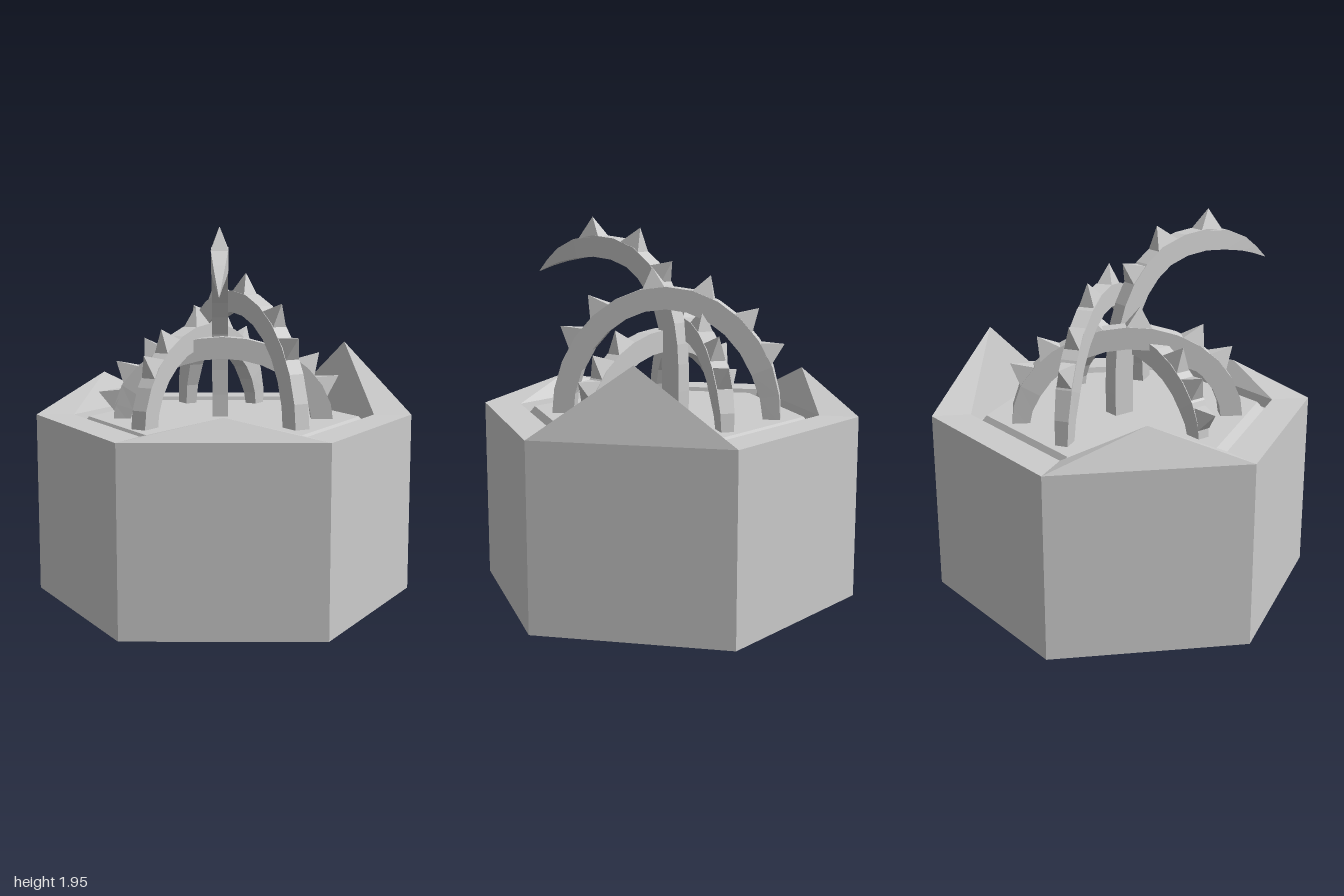
import * as THREE from 'three';

const material = new THREE.MeshStandardMaterial({ color: 0xcccccc, flatShading: true, side: THREE.DoubleSide });
const CZ = -0.055, RIM = 0.955, FLOOR = 0.945;

// Mesh from a list of triangles, each [Vector3, Vector3, Vector3]
function triMesh(name, tris) {
  const geo = new THREE.BufferGeometry().setFromPoints(tris.flat());
  geo.computeVertexNormals();
  const mesh = new THREE.Mesh(geo, material);
  mesh.name = name;
  return mesh;
}

// Corner i of a hexagon; corner 0 points to +x and they run towards +z
function corner(i, r, y) {
  const a = (i * Math.PI) / 3;
  return new THREE.Vector3(r * Math.cos(a), y, CZ + r * Math.sin(a));
}

function quad(a, b, c, d) {
  return [[a, b, c], [a, c, d]];
}

// Six-sided block, with a groove around a raised floor
function makeBase() {
  const rings = [[0, 0], [1, 0], [1, RIM]];
  const inner = [[0.8, RIM], [0.785, 0.9], [0.757, 0.9], [0.72, FLOOR], [0, FLOOR]];
  const tris = [];
  for (const profile of [rings, inner]) {
    for (let k = 0; k < profile.length - 1; k++) {
      const [r0, y0] = profile[k], [r1, y1] = profile[k + 1];
      for (let i = 0; i < 6; i++) {
        const a = corner(i, r0, y0), b = corner(i + 1, r0, y0);
        const c = corner(i + 1, r1, y1), d = corner(i, r1, y1);
        if (r0 === 0) tris.push([a, d, c]);
        else if (r1 === 0) tris.push([a, d, b]);
        else tris.push(...quad(a, d, c, b));
      }
    }
  }
  return triMesh('hexBase', tris);
}

// Rim segment: four faces meeting in a peak over its middle
function makeRim(i, peakY) {
  const a = corner(i, 1, RIM), b = corner(i + 1, 1, RIM);
  const c = corner(i + 1, 0.8, RIM), d = corner(i, 0.8, RIM);
  const p = a.clone().add(b).add(c).add(d).multiplyScalar(0.25).setY(peakY);
  return triMesh(peakY > RIM ? 'rimPeak' : 'rimFlat', [[a, p, b], [b, p, c], [c, p, d], [d, p, a]]);
}

// Square tentacle swept along a curve in the local xy plane.
// half(t) scales the section, spikes lists the places of thorns on the outer side.
function makeTentacle(name, curve, segments, half, spikes) {
  const at = (t, n, s) => {
    const p = curve.getPoint(t), d = curve.getTangent(t);
    return new THREE.Vector3(p.x + d.y * n, p.y - d.x * n, s);
  };
  const W = 0.042, H = 0.057;
  const ring = (t) => {
    const k = half(t);
    return [[-1, -1], [1, -1], [1, 1], [-1, 1]].map(([n, s]) => at(t, n * H * k, s * W * k));
  };
  const tris = [];
  for (let i = 0; i < segments; i++) {
    const r0 = ring(i / segments), r1 = ring((i + 1) / segments);
    for (let j = 0; j < 4; j++) {
      const m = (j + 1) % 4;
      tris.push(...quad(r0[j], r1[j], r1[m], r0[m]));
    }
  }
  const start = ring(0), end = ring(1);
  tris.push(...quad(...start), ...quad(...end.reverse()));

  const length = curve.getLength();
  for (const t of spikes) {
    const k = half(t), dt = 0.06 / length;
    const foot = [[-1, -1], [1, -1], [1, 1], [-1, 1]]
      .map(([e, s]) => at(THREE.MathUtils.clamp(t + e * dt, 0, 1), H * k * 0.85, s * W * k));
    const tip = at(t, H * k + 0.1, 0);
    for (let j = 0; j < 4; j++) tris.push([foot[j], foot[(j + 1) % 4], tip]);
  }
  return triMesh(name, tris);
}

// Half-ellipse from +x over the top to -x
function archCurve(rx, ry) {
  const curve = new THREE.Curve();
  curve.getPoint = (t) => {
    const a = t * Math.PI;
    return new THREE.Vector3(rx * Math.cos(a), ry * Math.sin(a), 0);
  };
  return curve;
}

export function createModel() {
  const model = new THREE.Group();
  model.name = 'tentaclePit';
  model.add(makeBase());

  // Rim, with a low front peak, a middle and a tall one at the back
  const peaks = [RIM, 1.06, RIM, 1.14, RIM, 1.31];
  peaks.forEach((y, i) => model.add(makeRim(i, y)));

  // Arched tentacles: name, centre x and z, turn, radii, thorn angles
  const crossed = [38, 55, 84, 108, 131, 148];
  const arches = [
    ['tallArch', 0.075, -0.125, -1.015, 0.545, 0.635, crossed],
    ['middleArch', -0.11, -0.125, Math.PI + 1.015, 0.545, 0.46, crossed],
    ['sideArch', -0.01, -0.01, 0, 0.53, 0.4, [25, 40, 58, 128, 146, 164]],
  ];
  for (const [name, x, z, turn, rx, ry, angles] of arches) {
    const arch = makeTentacle(name, archCurve(rx, ry), 14,
      (t) => 1 - 0.25 * THREE.MathUtils.smoothstep(t, 0.85, 1), angles.map((a) => a / 180));
    arch.position.set(x, 0.92, z);
    arch.rotation.y = turn;
    model.add(arch);
  }

  // Free tentacle rising and reaching out over the front to a point
  const path = [[0.1, 0.92], [0.1, 1.2], [0.075, 1.4], [-0.01, 1.59], [-0.18, 1.74], [-0.45, 1.79],
    [-0.73, 1.73], [-0.92, 1.63]].map(([x, y]) => new THREE.Vector3(x, y, 0));
  const reach = makeTentacle('reachingTentacle', new THREE.CatmullRomCurve3(path), 14,
    (t) => (t < 0.75 ? 1 : Math.max(0.02, 1 - ((t - 0.75) / 0.25) ** 1.3)), [0.46, 0.585, 0.73]);
  reach.position.x = -0.02;
  reach.rotation.y = Math.PI / 2;
  model.add(reach);

  return model;
}
